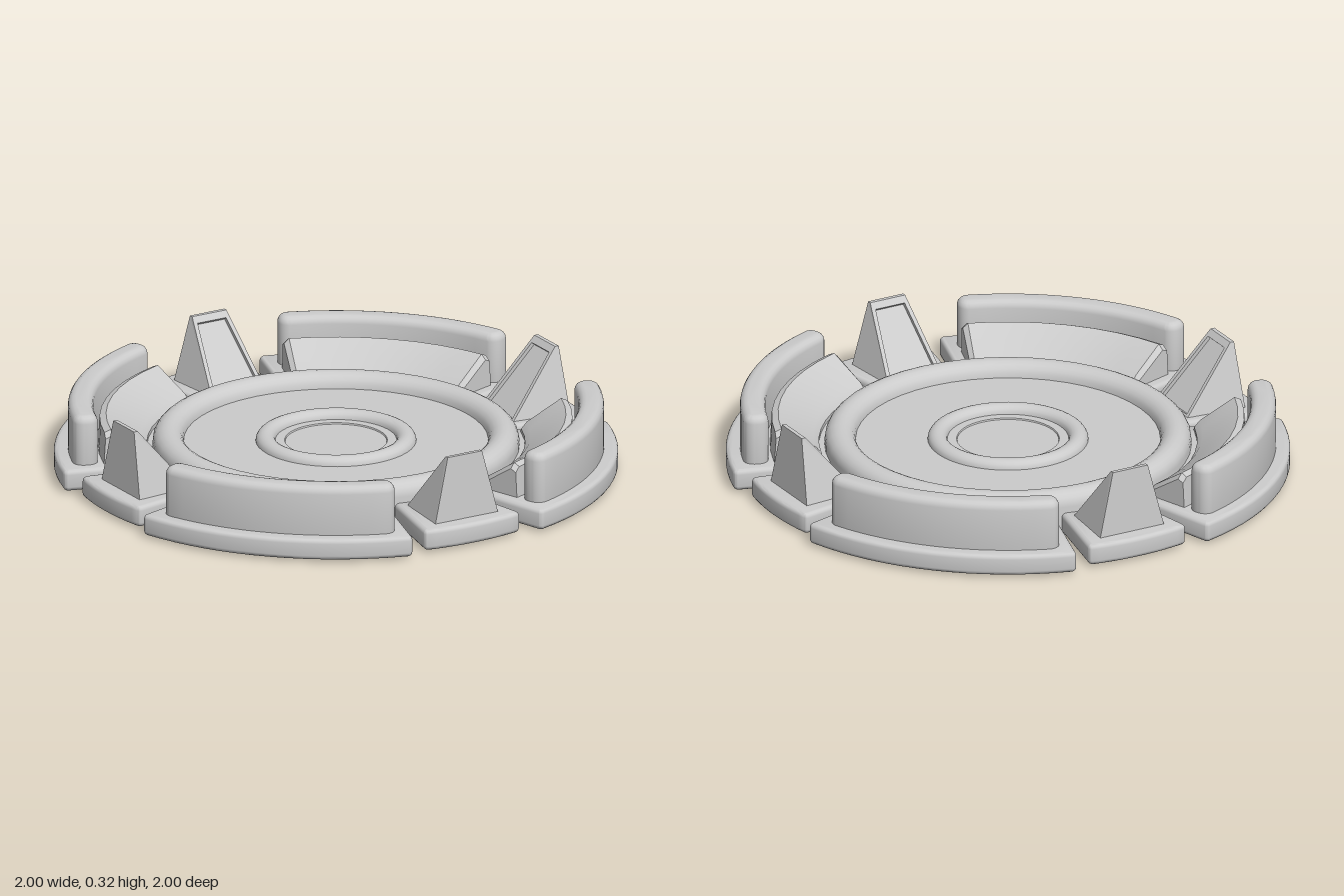
import * as THREE from 'three';
import { toCreasedNormals } from 'three/addons/utils/BufferGeometryUtils.js';

const material = new THREE.MeshStandardMaterial({ color: 0xcccccc });
const deg = THREE.MathUtils.degToRad;

function part(name, geometry) {
  const mesh = new THREE.Mesh(geometry, material);
  mesh.name = name;
  return mesh;
}

// Rounded slab in the shape of a ring sector, centred on +z
function sectorSlab(r0, r1, halfAngle, y0, y1, bevel, corner) {
  const r = r0 + bevel, R = r1 - bevel, c = corner;
  const h = halfAngle - bevel / ((r + R) / 2);
  const mid = -Math.PI / 2;
  const P = (rad, a) => [rad * Math.cos(mid + a), rad * Math.sin(mid + a)];
  const s = new THREE.Shape();
  s.moveTo(...P(R, -h + c / R));
  s.absarc(0, 0, R, mid - h + c / R, mid + h - c / R, false);
  s.quadraticCurveTo(...P(R, h), ...P(R - c, h));
  s.lineTo(...P(r + c, h));
  s.quadraticCurveTo(...P(r, h), ...P(r, h - c / r));
  s.absarc(0, 0, r, mid + h - c / r, mid - h + c / r, true);
  s.quadraticCurveTo(...P(r, -h), ...P(r + c, -h));
  s.lineTo(...P(R - c, -h));
  s.quadraticCurveTo(...P(R, -h), ...P(R, -h + c / R));
  const geo = new THREE.ExtrudeGeometry(s, {
    depth: y1 - y0 - 2 * bevel, bevelEnabled: true, bevelSize: bevel,
    bevelThickness: bevel, bevelSegments: 4, curveSegments: 8,
  });
  geo.translate(0, 0, y0 + bevel);
  geo.rotateX(-Math.PI / 2);
  return toCreasedNormals(geo, 0.6);
}

// Solid through a list of equal-length loops of [x, y, z], capped at both ends
function loft(loops) {
  const pos = [];
  const tri = (...pts) => pts.forEach((p) => pos.push(...p));
  const n = loops[0].length;
  for (let i = 0; i < loops.length - 1; i++) {
    for (let j = 0; j < n; j++) {
      const k = (j + 1) % n, A = loops[i], B = loops[i + 1];
      tri(A[j], A[k], B[k]);
      tri(A[j], B[k], B[j]);
    }
  }
  const first = loops[0], last = loops[loops.length - 1];
  for (let j = 1; j < n - 1; j++) {
    tri(first[0], first[j + 1], first[j]);
    tri(last[0], last[j], last[j + 1]);
  }
  const geo = new THREE.BufferGeometry();
  geo.setAttribute('position', new THREE.Float32BufferAttribute(pos, 3));
  geo.computeVertexNormals();
  return geo;
}

// Sloping seat just in front of a wall, with chamfered edges
function seatGeometry() {
  const section = [[0.67, 0.06], [0.67, 0.1], [0.69, 0.125], [0.815, 0.205], [0.838, 0.195], [0.845, 0.06]];
  const ring = (a, drop) => section.map(([r, y]) =>
    [r * Math.sin(a), y > 0.06 ? y - drop : y, r * Math.cos(a)]);
  const h = deg(25.5), steps = 8;
  const loops = [ring(-deg(26.8), 0.018)];
  for (let i = 0; i <= steps; i++) loops.push(ring(-h + (2 * h * i) / steps, 0));
  loops.push(ring(deg(26.8), 0.018));
  return toCreasedNormals(loft(loops), 0.4);
}

// Tapered pylon whose inner face leans outward and holds a recessed panel
function pylonGeometry() {
  const quad = (baseW, baseR, topW, topR) => [
    [-baseW, 0.07, baseR], [-topW, 0.32, topR], [topW, 0.32, topR], [baseW, 0.07, baseR],
  ];
  const back = quad(0.133, 0.893, 0.071, 0.88);
  const front = quad(0.112, 0.657, 0.071, 0.865);
  const centre = [0, 1, 2].map((k) => front.reduce((sum, p) => sum + p[k] / 4, 0));
  const inset = front.map((p) => p.map((v, k) => v + (centre[k] - v) * 0.17));
  const recess = inset.map(([x, y, z]) => [x, y - 0.009, z + 0.01]);
  return loft([back, front, inset, recess]);
}

// Half-round bead for the lathe profile, from the outer to the inner radius
function bead(outer, inner, y, height) {
  const pts = [];
  for (let i = 0; i <= 10; i++) {
    const t = (Math.PI * i) / 10;
    pts.push(new THREE.Vector2((outer + inner) / 2 + ((outer - inner) / 2) * Math.cos(t), y + height * Math.sin(t)));
  }
  return pts;
}

export function createModel() {
  const model = new THREE.Group();
  model.name = 'roundArena';

  // Central dish with raised rim and inner ring
  const v = (x, y) => new THREE.Vector2(x, y);
  const profile = [
    v(0, 0), v(0.65, 0), ...bead(0.65, 0.54, 0.107, 0.052),
    ...bead(0.285, 0.215, 0.107, 0.03),
    v(0.182, 0.107), v(0.18, 0.102), v(0, 0.102),
  ];
  const dish = new THREE.LatheGeometry(profile, 48).toNonIndexed();
  model.add(part('centralDish', toCreasedNormals(dish, 0.5)));

  const plate = sectorSlab(0.61, 1.0, deg(29.9), 0.008, 0.085, 0.016, 0.003);
  const wall = sectorSlab(0.86, 0.95, deg(26.9), 0.03, 0.265, 0.028, 0.014);
  const seat = seatGeometry();
  const smallPlate = sectorSlab(0.61, 0.956, deg(12.2), 0.008, 0.085, 0.016, 0.003);
  const pylon = pylonGeometry();

  for (let i = 0; i < 4; i++) {
    // Wide segment with wall and seat
    const segment = new THREE.Group();
    segment.name = 'wallSegment';
    segment.add(part('segmentPlate', plate), part('wall', wall), part('slopedSeat', seat));
    segment.rotation.y = (i * Math.PI) / 2;

    // Narrow diagonal segment with pylon
    const corner = new THREE.Group();
    corner.name = 'pylonSegment';
    corner.add(part('pylonPlate', smallPlate), part('pylon', pylon));
    corner.rotation.y = (i * Math.PI) / 2 + Math.PI / 4;

    model.add(segment, corner);
  }
  return model;
}
